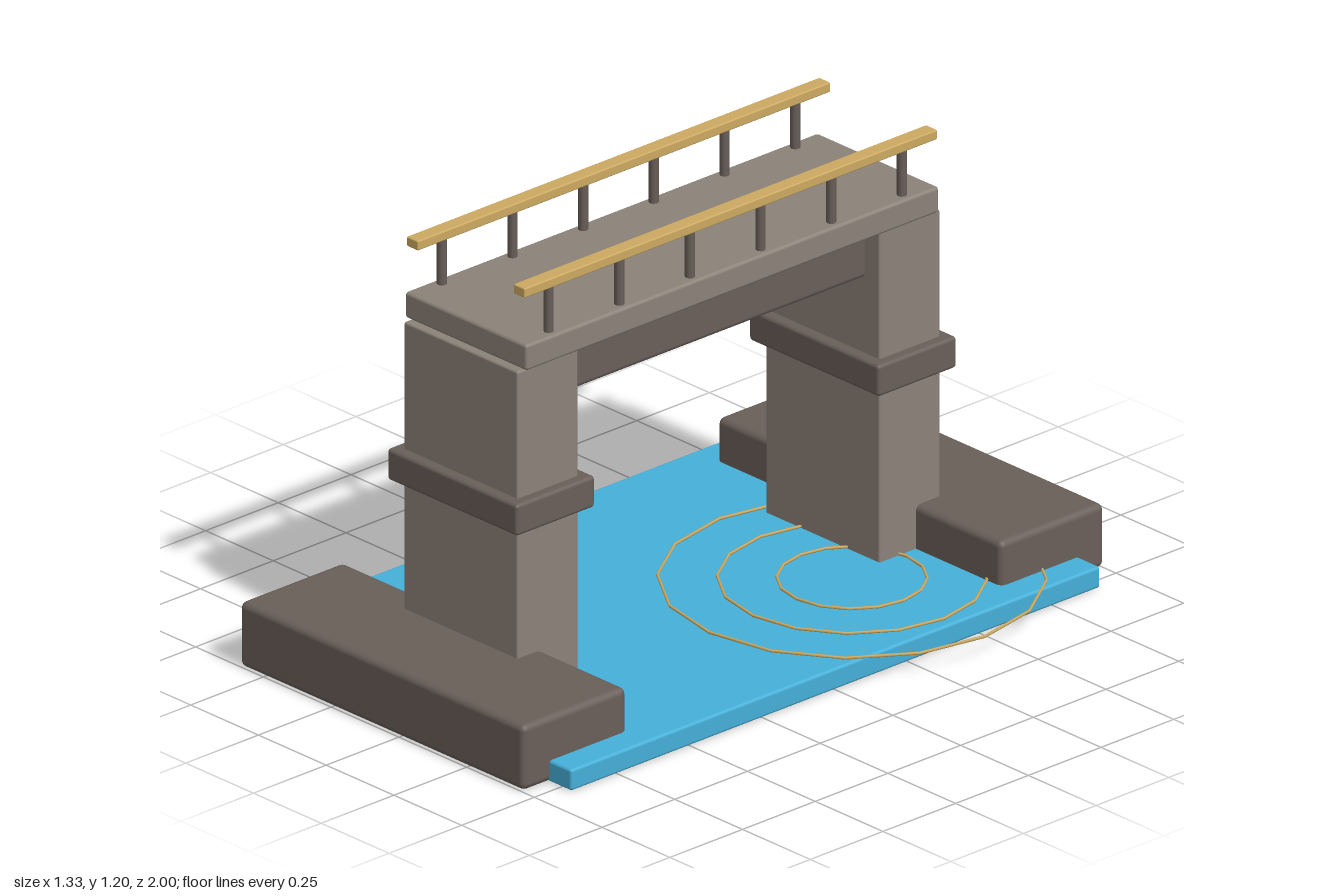
import * as THREE from 'three';
import { RoundedBoxGeometry } from 'three/addons/geometries/RoundedBoxGeometry.js';

const CX = -0.065; // centre line of the bridge

export function createModel() {
  const mat = (name, color) => {
    const m = new THREE.MeshStandardMaterial({ color });
    m.name = name;
    return m;
  };
  const stone = mat('light stone', 0x8c8279);
  const darkStone = mat('dark stone', 0x6a5f59);
  const gold = mat('gold', 0xcdaa62);
  const water = mat('water blue', 0x46b0d9);

  const model = new THREE.Group();
  model.name = 'bridge';

  // Softly bevelled block given by its width, y range and z range
  const block = (name, material, width, y0, y1, z0, z1, bevel, x = CX) => {
    const geo = new RoundedBoxGeometry(width, y1 - y0, z1 - z0, 2, bevel);
    const mesh = new THREE.Mesh(geo, material);
    mesh.name = name;
    mesh.position.set(x, (y0 + y1) / 2, (z0 + z1) / 2);
    model.add(mesh);
    return mesh;
  };

  // Water slab
  block('water', water, 1.21, 0.001, 0.06, -0.91, 0.91, 0.008);

  // Banks, pillars and pillar bands at both ends
  for (const s of [1, -1]) {
    const end = s > 0 ? 'front' : 'back';
    const base = s > 0 ? 0 : 0.004;
    const span = (a, b) => (s > 0 ? [a, b] : [-b, -a]);
    block(end + 'Bank', darkStone, 1.05, base, 0.18, ...span(0.643, 1), 0.018);
    block(end + 'Pillar', stone, 0.42, base, 0.972, ...span(0.518, 0.727), 0.006);
    block(end + 'PillarBand', darkStone, 0.48, 0.535, 0.622, ...span(0.487, 0.757), 0.01);
  }

  // Deck and the beam below it
  block('deck', stone, 0.45, 0.973, 1.045, -0.71, 0.71, 0.009);
  block('beam', darkStone, 0.34, 0.838, 0.975, -0.515, 0.515, 0.014);

  // Railings
  const postGeo = new THREE.CylinderGeometry(0.013, 0.013, 0.14, 8);
  for (const s of [1, -1]) {
    const x = CX + s * 0.197;
    const side = s > 0 ? 'left' : 'right';
    block(side + 'Rail', gold, 0.042, 1.173, 1.2, -0.71, 0.71, 0.004, x);
    for (let i = 0; i < 6; i++) {
      const post = new THREE.Mesh(postGeo, darkStone);
      post.name = side + 'Post' + (i + 1);
      post.position.set(x, 1.107, 0.608 - i * 0.243);
      model.add(post);
    }
  }

  // Ripple rings on the water
  [0.19, 0.34, 0.49].forEach((radius, i) => {
    const ring = new THREE.Mesh(new THREE.TorusGeometry(radius, 0.004, 6, 16), gold);
    ring.name = 'ripple' + (i + 1);
    ring.rotation.x = Math.PI / 2;
    ring.position.set(0.17, 0.064, -0.4);
    model.add(ring);
  });

  return model;
}
